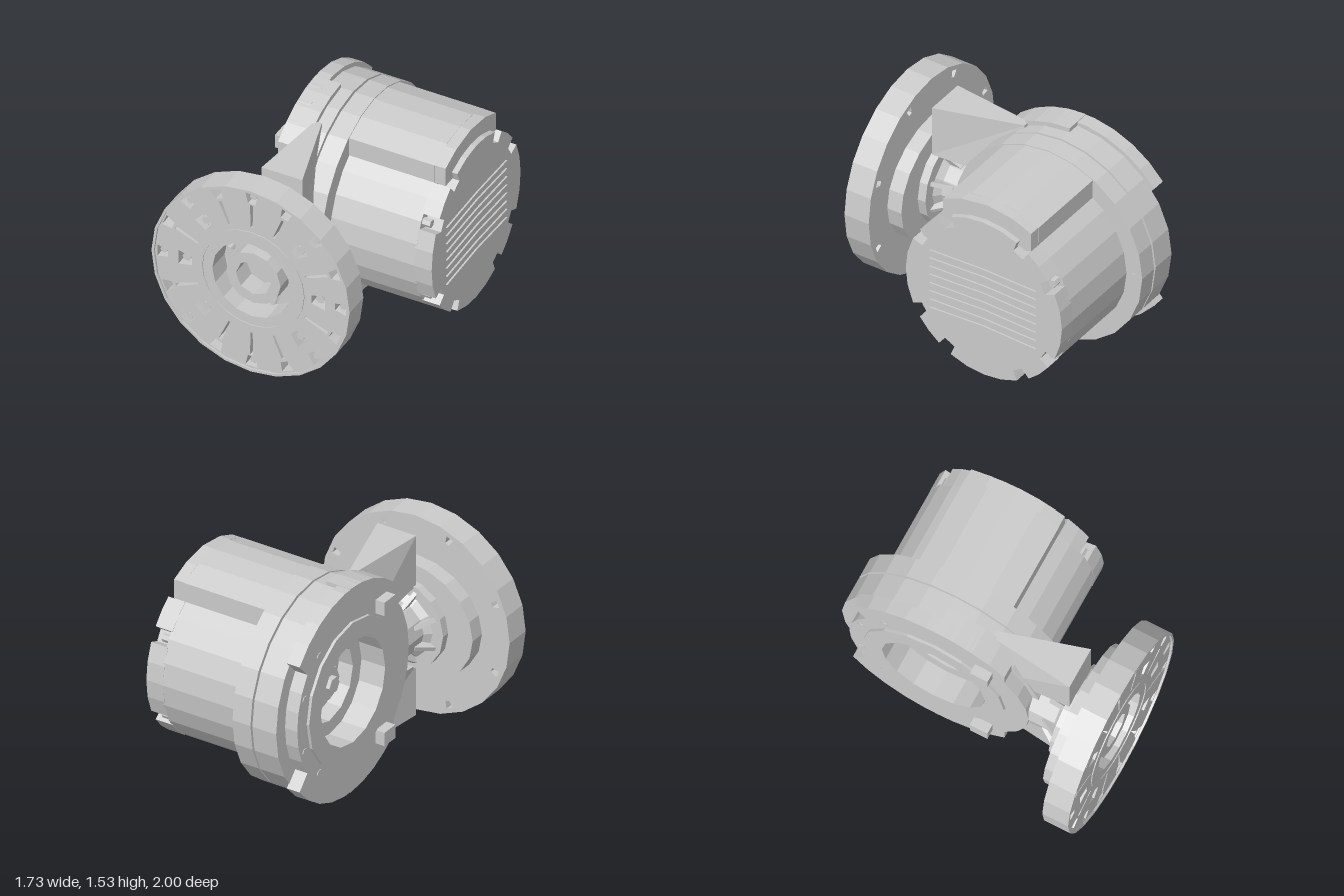
import * as THREE from 'three';

const material = new THREE.MeshStandardMaterial({ color: 0xcccccc, flatShading: true });
const rad = Math.PI / 180;
const polar = (r, deg) => new THREE.Vector2(r * Math.cos(deg * rad), r * Math.sin(deg * rad));
const toPoints = (list) => list.map(([x, y]) => new THREE.Vector2(x, y));

function add(parent, name, geometry) {
  const mesh = new THREE.Mesh(geometry, material);
  mesh.name = name;
  parent.add(mesh);
  return mesh;
}

// Points on an arc, in degrees
function arc(r, from, to, steps) {
  return Array.from({ length: steps + 1 }, (_, i) => polar(r, from + (to - from) * i / steps));
}
const circle = (r, sides) => arc(r, 0, 360 - 360 / sides, sides - 1);

// Flat plate between two depths, with optional hole outlines
function plate(parent, name, points, z0, z1, holes = []) {
  const shape = new THREE.Shape(points);
  shape.holes = holes.map((h) => new THREE.Path(h));
  const g = new THREE.ExtrudeGeometry(shape, { depth: z1 - z0, bevelEnabled: false });
  g.translate(0, 0, z0);
  return add(parent, name, g);
}
const disc = (parent, name, r, z0, z1, sides = 24, hole = 0, holeSides = 16) =>
  plate(parent, name, circle(r, sides), z0, z1, hole ? [circle(hole, holeSides)] : []);

// Tapered pocket outline lying on a radius
function pocket(deg, r, half, length) {
  return toPoints([[-length, -half * 0.6], [length, -half], [length, half], [-length, half * 0.6]])
    .map((p) => new THREE.Vector2(r + p.x, p.y).rotateAround(new THREE.Vector2(), deg * rad));
}

// Small six-sided screw facing along z
function screw(parent, name, r, deg, size, z0, z1) {
  const p = polar(r, deg);
  disc(parent, name, size, z0, z1, 6).position.set(p.x, p.y, 0);
}

function buildWheel() {
  const wheel = new THREE.Group();
  wheel.name = 'wheelFlange';
  wheel.position.set(-0.135, 0.775, 0);
  const bolts = Array.from({ length: 8 }, (_, i) => i * 45);
  const inner = bolts.filter((a) => a % 180 !== 90);

  // Rim, back layer with small through holes, front layer with pockets and slots
  disc(wheel, 'wheelRim', 0.73, 0.81, 1, 24, 0.712, 24);
  plate(wheel, 'wheelBack', circle(0.72, 24), 0.81, 0.9,
    [circle(0.29, 16), ...bolts.map((a) => pocket(a + 22.5, 0.665, 0.026, 0.026))]);
  plate(wheel, 'wheelFace', circle(0.72, 24), 0.9, 0.985, [
    circle(0.29, 16),
    ...bolts.map((a) => pocket(a + 22.5, 0.66, 0.045, 0.035)),
    ...bolts.map((a) => pocket(a, 0.655, 0.045, 0.04)),
    ...inner.map((a) => pocket(a, 0.49, 0.055, 0.05)),
    ...[...bolts.map((a) => a + 22.5), 90, 270].map((a) => pocket(a, 0.515, 0.012, 0.09)),
  ]);
  bolts.forEach((a) => {
    screw(wheel, 'wheelBolt', 0.66, a, 0.026, 0.89, 0.96);
    screw(wheel, 'hubScrew', 0.245, a + 22.5, 0.022, 0.81, 0.87);
  });
  inner.forEach((a) => screw(wheel, 'innerBolt', 0.49, a, 0.032, 0.89, 0.96));
  disc(wheel, 'faceRing', 0.39, 0.98, 0.992, 24, 0.36, 24);

  // Hub with octagonal socket
  disc(wheel, 'hubRing', 0.2, 0.81, 0.96, 12, 0.13, 8);

  // Stepped back of the wheel
  disc(wheel, 'wheelStep', 1, 0.7, 0.815, 20).scale.set(0.515, 0.44, 1);
  disc(wheel, 'neckFlange', 0.325, 0.64, 0.705, 16);
  const neck = new THREE.LatheGeometry(toPoints(
    [[0, 0.2], [0.2, 0.2], [0.2, 0.6], [0.25, 0.645], [0, 0.645]]), 12);
  add(wheel, 'neck', neck.rotateX(Math.PI / 2));

  // Triangular ribs around the neck
  for (let i = 0; i < 8; i++) {
    const g = new THREE.ExtrudeGeometry(new THREE.Shape(toPoints(
      [[0.15, 0.5], [0.2, 0.52], [0.29, 0.645], [0.15, 0.645]])), { depth: 0.03, bevelEnabled: false });
    g.translate(0, 0, -0.015).rotateX(Math.PI / 2).rotateZ((i * 45 + 22.5) * rad);
    add(wheel, 'neckRib', g);
  }
  return wheel;
}

// Local axes: z runs along the motor (+x), x points to the back
function buildMotor() {
  const motor = new THREE.Group();
  motor.name = 'motor';
  motor.position.set(0, 0.775, -0.265);
  motor.rotation.y = Math.PI / 2;

  // Main casing with a flat underside near its end
  disc(motor, 'motorBody', 0.612, 0.08, 0.56, 24);
  plate(motor, 'motorBodyEnd',
    circle(0.612, 24).map((p) => new THREE.Vector2(p.x, Math.max(p.y, -0.555))), 0.56, 0.73);

  // Raised top boss and joint flanges
  plate(motor, 'topBoss', [new THREE.Vector2(0.345, 0.45), ...arc(0.728, 61.5, 118.5, 4),
    new THREE.Vector2(-0.345, 0.45)], 0.08, 0.73);
  plate(motor, 'topBossEnd', toPoints([[0.345, 0.5], [0.345, 0.64], [0.2, 0.7], [0, 0.728],
    [-0.2, 0.7], [-0.345, 0.64], [-0.345, 0.5], [-0.24, 0.5], [-0.2, 0.56], [0.2, 0.56],
    [0.24, 0.5]]), 0.73, 0.81);
  disc(motor, 'motorFlange', 0.735, -0.04, 0.1, 24);
  disc(motor, 'jointGap', 0.705, -0.06, -0.03, 24);
  disc(motor, 'gearRing', 0.735, -0.24, -0.055, 24, 0.38);

  // Notched end cap with a screw in each notch
  const notches = [30, 60, 120, 150, 210, 240, 300, 330];
  const cap = notches.flatMap((a, i) => {
    const next = notches[(i + 1) % 8] + (i === 7 ? 360 : 0);
    return [polar(0.535, a - 4.5), polar(0.535, a + 4.5),
      ...arc(0.612, a + 5, next - 5, next - a > 40 ? 4 : 2)];
  });
  plate(motor, 'endCap', cap, 0.72, 0.85);
  notches.forEach((a) => screw(motor, 'capScrew', 0.572, a, 0.03, 0.72, 0.79));

  // Cooling fins: thin pointed blades on the end cap
  for (let i = 0; i < 8; i++) {
    const y = -0.235 + i * 0.066;
    const h = i % 2 ? 0.014 : 0.02;
    plate(motor, 'coolingFin', toPoints([[-0.42, y], [0, y - h], [0.41, y + 0.004], [0, y + h]]),
      0.84, 0.862);
  }

  // Side plate: rounded at the back, with a wider band along its top and bottom
  const top = arc(0.765, 38, 132, 8);
  const bottom = top.map((p) => new THREE.Vector2(p.x, -p.y)).reverse();
  plate(motor, 'sidePlate', [...top, ...arc(0.69, 138, 222, 6), ...bottom, ...arc(0.63, -36, 36, 6)],
    -0.335, -0.235, [circle(0.38, 16)]);

  // Bearing collar, stepped bore and shaft end
  disc(motor, 'bearingCollar', 0.52, -0.355, -0.33, 16, 0.38);
  disc(motor, 'boreStep', 0.385, -0.17, -0.06, 16, 0.28, 12);
  disc(motor, 'shaftEnd', 0.12, -0.17, -0.03, 8);
  disc(motor, 'shaftNut', 0.06, -0.21, -0.16, 6);

  for (const s of [1, -1]) {
    // Curved lip over the gear ring
    const lip = [...arc(0.766, 90, 132, 4), ...arc(0.7, 132, 90, 4)];
    plate(motor, 'gearLip', lip.map((p) => new THREE.Vector2(p.x, p.y * s)), -0.335, -0.145);

    // Arm: flares toward the wheel, with a wide foot and narrow crest at the ring
    const arm = new THREE.BoxGeometry(0.605, 0.375, 0.3).translate(-0.6325, s * 0.4875, -0.08);
    const p = arm.attributes.position;
    for (let i = 0; i < p.count; i++) {
      if (p.getX(i) < -0.5) continue;
      const foot = Math.abs(p.getY(i)) < 0.5;
      if (foot) p.setY(i, s * 0.23);
      if (p.getZ(i) > 0) p.setZ(i, foot ? -0.06 : -0.11);
      else p.setZ(i, foot ? -0.235 : -0.16);
    }
    add(motor, 'wheelArm', arm);

    // Square lugs on the side plate, screws on the motor flange
    add(motor, 'sideLug', new THREE.BoxGeometry(0.13, 0.1, 0.09).translate(-0.36, s * 0.49, -0.36));
    for (const a of [66, 114]) screw(motor, 'flangeScrew', 0.67, s * a, 0.025, 0.09, 0.104);
  }
  for (const a of [-50, -20, 20, 50]) screw(motor, 'plateScrew', 0.575, a, 0.03, -0.34, -0.22);
  for (const a of [0, 180]) screw(motor, 'flangeScrew', 0.67, a, 0.025, 0.09, 0.104);
  return motor;
}

export function createModel() {
  const model = new THREE.Group();
  model.name = 'wheelMotor';
  model.add(buildWheel(), buildMotor());
  return model;
}
